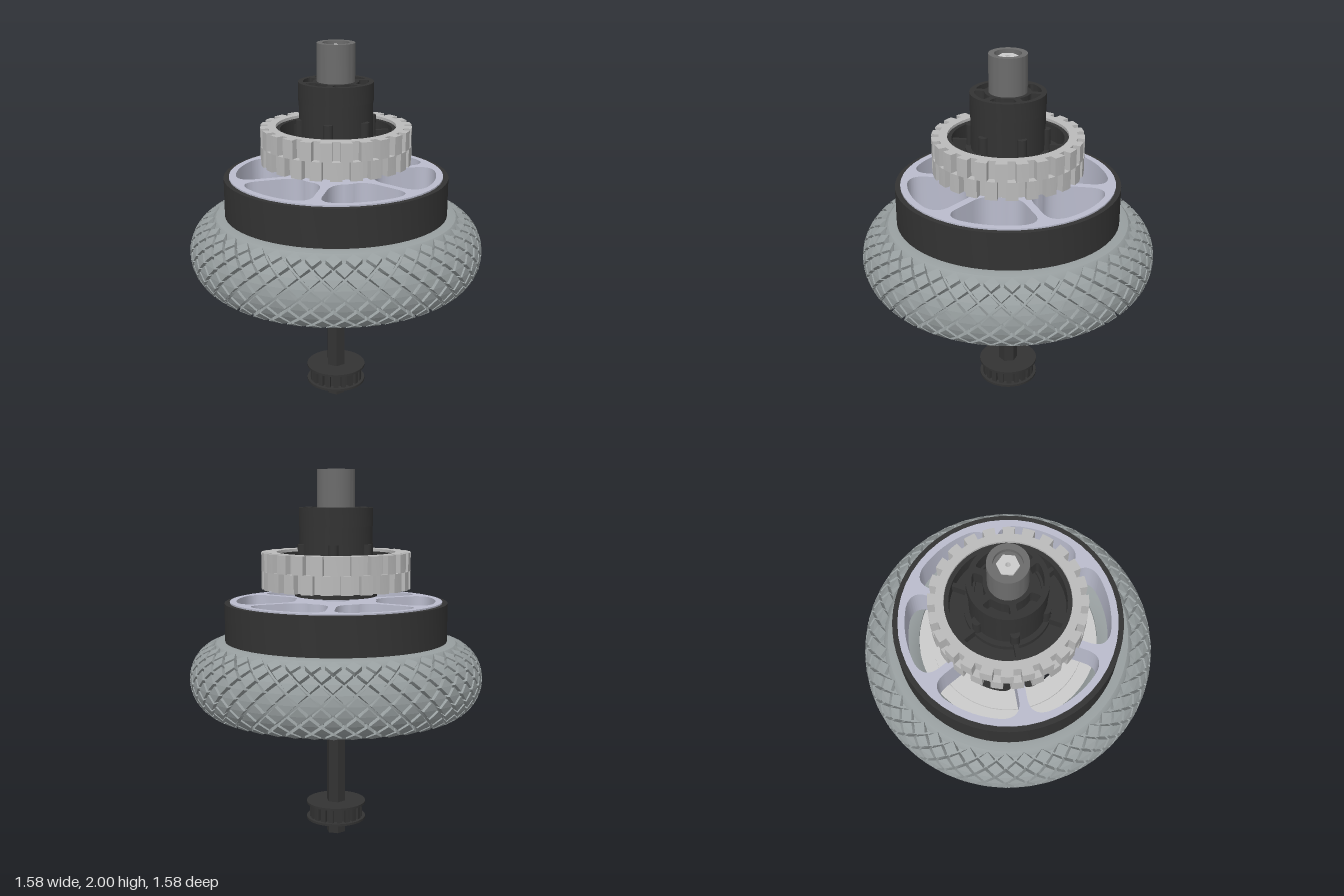
import * as THREE from 'three';
import { toCreasedNormals } from 'three/addons/utils/BufferGeometryUtils.js';

const TAU = Math.PI * 2;
const mat = (color) => new THREE.MeshStandardMaterial({ color });
const dark = mat(0x333333), rubber = mat(0x989fa0), alloy = mat(0xbabccd),
  pale = mat(0xbababa), steel = mat(0x6c6c6c), white = mat(0xe4e4e4), grey = mat(0xcccccc);

export function createModel() {
  const model = new THREE.Group();

  const add = (name, geo, material, parent = model) => {
    const mesh = new THREE.Mesh(geo, material);
    mesh.name = name;
    parent.add(mesh);
    return mesh;
  };

  // Upright slab of a flat shape between two heights
  const slab = (name, shape, y0, y1, material) => {
    const geo = new THREE.ExtrudeGeometry(shape, { depth: y1 - y0, bevelEnabled: false, curveSegments: 24 });
    geo.rotateX(-Math.PI / 2).translate(0, y0, 0);
    return add(name, toCreasedNormals(geo, 0.45), material);
  };

  const lathe = (name, pts, material, segs = 64) =>
    add(name, toCreasedNormals(new THREE.LatheGeometry(pts.map(([r, y]) => new THREE.Vector2(r, y)), segs), 0.5), material);

  // Closed ring with a rectangular section
  const ring = (name, r0, r1, y0, y1, material) =>
    lathe(name, [[r0, y0], [r1, y0], [r1, y1], [r0, y1], [r0, y0]], material);

  const pt = (r, a) => [r * Math.cos(a), r * Math.sin(a)];
  const disc = (r) => new THREE.Shape().absarc(0, 0, r, 0, TAU, false);
  const hole = (r) => new THREE.Path().absarc(0, 0, r, 0, TAU, true);
  const hex = (r) => new THREE.Shape(Array.from({ length: 6 }, (_, i) =>
    new THREE.Vector2(...pt(r, (i + 0.25) * TAU / 6))));

  // Rounded sector opening, one of six, leaving spokes of half width w
  const sector = (r0, r1, i, w, k) => {
    const mid = (i + 0.5) * TAU / 6, ra = r0 + k, rb = r1 - k;
    const half = (r) => Math.PI / 6 - w / r;
    const h0 = half(r0), h1 = half(r1), ha = half(ra), hb = half(rb);
    const c0 = Math.min(k / r0, h0 * 0.8), c1 = k / r1;
    const p = new THREE.Path();
    p.absarc(0, 0, r1, mid - h1 + c1, mid + h1 - c1, false);
    p.quadraticCurveTo(...pt(r1, mid + h1), ...pt(rb, mid + hb));
    p.lineTo(...pt(ra, mid + ha));
    p.quadraticCurveTo(...pt(r0, mid + h0), ...pt(r0, mid + h0 - c0));
    p.absarc(0, 0, r0, mid + h0 - c0, mid - h0 + c0, true);
    p.quadraticCurveTo(...pt(r0, mid - h0), ...pt(ra, mid - ha));
    p.lineTo(...pt(rb, mid - hb));
    p.quadraticCurveTo(...pt(r1, mid - h1), ...pt(r1, mid - h1 + c1));
    return p;
  };

  // Disc with a round centre hole and six sector openings
  const spoked = (r, bore, r0, r1, w, k) => {
    const s = disc(r);
    s.holes.push(hole(bore));
    for (let i = 0; i < 6; i++) s.holes.push(sector(r0, r1, i, w, k));
    return s;
  };

  // Ring with n square teeth
  const toothed = (rRoot, rTip, n, inner) => {
    const pts = [];
    for (let i = 0; i < n; i++) {
      const a = i * TAU / n, b = a + 0.6 * TAU / n, c = a + TAU / n;
      pts.push([rTip, a], [rTip, (a + b) / 2], [rTip, b], [rRoot, b], [rRoot, c]);
    }
    const s = new THREE.Shape(pts.map(([r, a]) => new THREE.Vector2(...pt(r, a))));
    s.holes.push(hole(inner));
    return s;
  };

  // Hexagonal shaft and its pale bored end
  slab('shaft', hex(0.053), 0, 1.2, dark);
  const end = hex(0.055);
  end.holes.push(hole(0.012));
  slab('shaftEnd', end, 1.2, 1.985, white);

  // Small belt pulley
  slab('pulleyTeeth', toothed(0.125, 0.147, 20, 0.04), 0.085, 0.175, dark);
  for (const y of [0.08, 0.168]) ring('pulleyFlange', 0.045, 0.163, y, y + 0.012, dark);

  // Pneumatic tyre: a round tube, sunk a little under the tread, open at the bead
  const CY = 0.89;
  const section = (t, out) => [0.6 + (0.164 + out) * Math.cos(t), CY + (0.174 + out) * Math.sin(t)];
  const profile = [];
  for (let i = 0; i <= 48; i++) {
    const t = (i / 24 - 1) * 2.26;
    profile.push(section(t, 0.024 * THREE.MathUtils.smoothstep(Math.abs(t), 1.12, 1.3)));
  }
  lathe('tyre', [...profile, profile[0]], rubber, 88);

  // Raised diamond tread blocks in staggered rows
  const pos = [], COLS = 44, PITCH = 0.265;
  for (let row = -4; row <= 4; row++) {
    for (let col = 0; col < COLS; col++) {
      const a = (col + (row & 1) * 0.5) * TAU / COLS, t = row * PITCH;
      const corners = (size, out) => [[1, 0], [0, 1], [-1, 0], [0, -1]].map(([u, v]) => {
        const [r, y] = section(t + v * size * PITCH, out);
        const b = a + u * size * Math.PI / COLS;
        return [r * Math.sin(b), y, r * Math.cos(b)];
      });
      const lo = corners(0.86, -0.006), hi = corners(0.78, 0.029);
      pos.push(...hi[0], ...hi[1], ...hi[2], ...hi[0], ...hi[2], ...hi[3]);
      for (let i = 0; i < 4; i++) {
        const j = (i + 1) % 4;
        pos.push(...lo[i], ...lo[j], ...hi[j], ...lo[i], ...hi[j], ...hi[i]);
      }
    }
  }
  const tread = new THREE.BufferGeometry();
  tread.setAttribute('position', new THREE.Float32BufferAttribute(pos, 3));
  tread.computeVertexNormals();
  add('treadBlocks', tread, rubber);

  // Hub of the tyre: pale rim and spoked core, dark clamp ring, bolts
  ring('tyreRim', 0.4, 0.482, 0.755, 1.025, grey);
  slab('tyreHub', spoked(0.41, 0.06, 0.13, 0.31, 0.022, 0.06), 0.765, 1.04, grey);
  ring('clampRing', 0.305, 0.41, 0.735, 0.765, steel);
  for (let i = 0; i < 6; i++) {
    const [x, z] = pt(0.315, i * TAU / 6);
    add('hubBolt', new THREE.CylinderGeometry(0.037, 0.037, 0.045, 12), dark).position.set(x, 0.735, z);
  }

  // Spoked alloy wheel with a dark band
  slab('spokedWheel', spoked(0.572, 0.055, 0.22, 0.535, 0.021, 0.1), 1.09, 1.303, alloy);
  ring('wheelBand', 0.57, 0.6, 1.09, 1.295, dark);
  ring('spacer', 0.05, 0.072, 1.3, 1.36, alloy);

  // Gripper wheel tread: two toothed layers half a pitch apart
  const layer = toothed(0.362, 0.4, 24, 0.318);
  slab('lowerTeeth', layer, 1.37, 1.468, pale).rotation.y = Math.PI / 24;
  slab('upperTeeth', layer, 1.468, 1.565, pale);

  // Dark hub of the gripper wheel with radial ribs and screws
  ring('gripperRim', 0.295, 0.32, 1.372, 1.55, dark);
  ring('gripperPlate', 0.05, 0.3, 1.41, 1.46, dark);
  ring('gripperBoss', 0.06, 0.222, 1.33, 1.5, dark);
  for (let i = 0; i < 6; i++) {
    const arm = new THREE.Group();
    arm.name = 'gripperArm';
    arm.rotation.y = i * TAU / 6;
    add('rib', new THREE.BoxGeometry(0.12, 0.07, 0.022), dark, arm).position.set(0.245, 1.49, 0);
    add('screwPost', new THREE.CylinderGeometry(0.025, 0.025, 0.12, 16), dark, arm).position.set(0.197, 1.55, 0);
    model.add(arm);
  }

  // Stacked collar with slotted cap
  ring('lowerCollar', 0.16, 0.195, 1.48, 1.702, dark);
  ring('collarFloor', 0.06, 0.17, 1.64, 1.68, dark);
  slab('slottedCap', spoked(0.198, 0.098, 0.12, 0.172, 0.016, 0.014), 1.702, 1.8, dark);

  // Top sleeve around the shaft end
  ring('sleeve', 0.07, 0.1, 1.5, 2, steel);
  ring('sleeveFloor', 0.045, 0.075, 1.93, 1.975, steel);

  return model;
}
